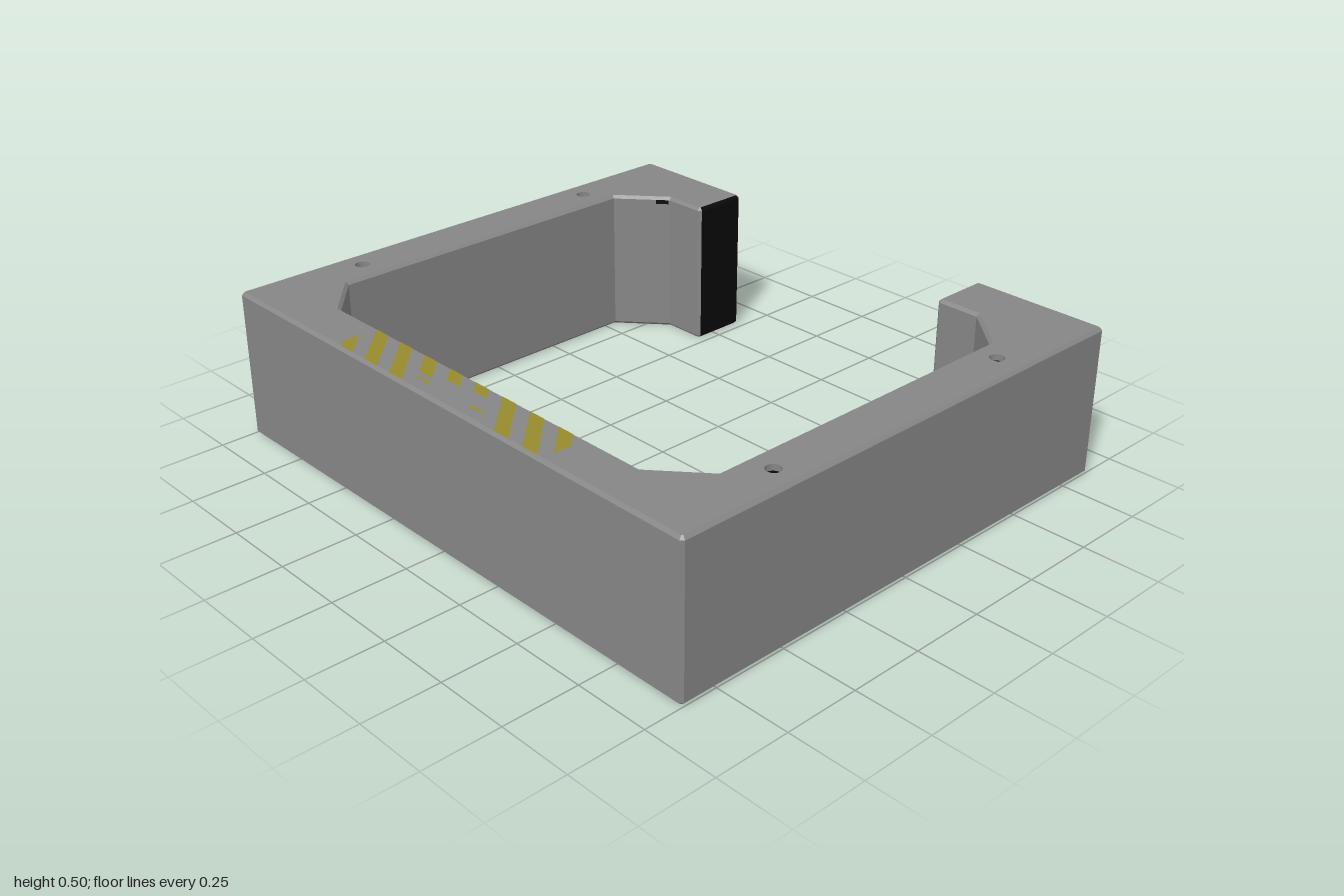
import * as THREE from 'three';

const H = 0.5, B = 0.01; // wall height, bevel size

const mat = (name, color) => Object.assign(new THREE.MeshStandardMaterial({ color }), { name });

// Cut a small chamfer into the given corner of a closed outline
function chamfer(prev, p, next) {
  const toward = (q) => p.clone().add(q.clone().sub(p).setLength(B));
  return [toward(prev), toward(next)];
}

// Plan of the open frame as (x, z), counter-clockwise seen from above
function framePlan() {
  const right = [[1, 0.875], [1, -0.875], [0.527, -0.875], [0.527, -0.672],
    [0.68, -0.672], [0.83, -0.54], [0.83, 0.585], [0.68, 0.715]];
  const left = right.map(([x, z]) => [-x, z]).reverse();
  const pts = [...right, ...left].map(([x, z]) => new THREE.Vector2(x, z));
  const n = pts.length;
  return pts.flatMap((p, i) => (i < 4 || i >= n - 4)
    ? chamfer(pts[(i + n - 1) % n], p, pts[(i + 1) % n]) : [p]);
}

// Move every corner inwards by the bevel size
function inset(pts) {
  const n = pts.length;
  const normal = (a, b) => new THREE.Vector2(a.y - b.y, b.x - a.x).normalize();
  return pts.map((p, i) => {
    const n1 = normal(pts[(i + n - 1) % n], p), n2 = normal(p, pts[(i + 1) % n]);
    return p.clone().addScaledVector(n1.clone().add(n2), -B / (1 + n1.dot(n2)));
  });
}

export function createModel() {
  const group = new THREE.Group();
  const grey = mat('grey', 0x868686);
  const black = mat('black', 0x080808);
  const yellow = mat('wornYellow', 0x968a2c);
  const add = (name, geometry, material) => {
    const mesh = new THREE.Mesh(geometry, material);
    mesh.name = name;
    group.add(mesh);
    return mesh;
  };

  // Frame walls and bevels; the right arm's end face is black
  const outer = framePlan(), inner = inset(outer), n = outer.length;
  const faces = { frame: [], armEnd: [] };
  const tri = (list, ...vs) => vs.forEach(([p, y]) => list.push(p.x, y, p.y));
  const quad = (list, a, b, c, d) => tri(list, a, b, c, a, c, d);
  const rings = [[inner, 0], [outer, B], [outer, H - B], [inner, H]];
  for (let i = 0; i < n; i++) {
    const j = (i + 1) % n, a = outer[i], b = outer[j];
    const isEnd = a.distanceTo(b) > 0.05 && Math.abs(a.x - b.x) < 1e-6 && Math.abs(a.x) < 0.6;
    for (let r = 0; r < 3; r++) {
      const list = isEnd && (a.x < 0 || r === 2) ? faces.armEnd : faces.frame;
      const [lo, y0] = rings[r], [hi, y1] = rings[r + 1];
      quad(list, [lo[i], y0], [lo[j], y0], [hi[j], y1], [hi[i], y1]);
    }
  }

  // Top cap with four bolt holes, and the plain bottom cap
  const R = 0.024, depth = 0.02;
  const bolts = [[-0.915, -0.47], [0.91, -0.47], [-0.92, 0.47], [0.915, 0.47]];
  const outline = inner.map((p) => new THREE.Vector2(p.x, -p.y));
  const holes = bolts.map(([x, z]) => new THREE.Path().absarc(x, -z, R, 0, Math.PI * 2, true).getPoints(8).slice(0, -1));
  const topPoints = [...outline, ...holes.flat()].map((p) => new THREE.Vector2(p.x, -p.y));
  for (const t of THREE.ShapeUtils.triangulateShape(outline, holes)) {
    tri(faces.frame, ...t.map((k) => [topPoints[k], H]));
  }
  for (const [a, b, c] of THREE.ShapeUtils.triangulateShape(outline, [])) {
    tri(faces.frame, [inner[c], 0], [inner[b], 0], [inner[a], 0]);
  }
  const materials = { frame: grey, armEnd: black };
  for (const [name, list] of Object.entries(faces)) {
    const g = new THREE.BufferGeometry();
    g.setAttribute('position', new THREE.Float32BufferAttribute(list, 3));
    g.computeVertexNormals();
    add(name, g, materials[name]);
  }

  // Recessed bolt holes: grey bore seen from inside, black floor
  const bore = new THREE.CylinderGeometry(R, R, depth, 16, 1, true);
  bore.scale(-1, 1, 1); // mirrored so that the inside shows
  bore.setIndex([...bore.index.array]);
  for (const [x, z] of bolts) {
    add('boltBore', bore, grey).position.set(x, H - depth / 2, z);
    const floor = add('boltHole', new THREE.CircleGeometry(R, 16), black);
    floor.rotation.x = -Math.PI / 2;
    floor.position.set(x, H - depth, z);
  }

  // Small dark marks on the inner corner facets: x, y, z, length, turn
  const marks = [[-0.7, 0.483, -0.654, 0.045, 0.72], [0.7, 0.483, 0.698, 0.035, 0.714],
    [-0.69, 0.014, 0.706, 0.02, -0.714]];
  for (const [x, y, z, length, turn] of marks) {
    const mark = add('darkMark', new THREE.BoxGeometry(length, 0.014, 0.004), black);
    mark.position.set(x, y, z);
    mark.rotation.y = turn;
  }

  // Diagonal warning stripes on the front rail: start x, near z, far z
  const plate = (points) => {
    const shape = new THREE.Shape(points.map(([x, z]) => new THREE.Vector2(x, -z)));
    const stripe = add('warningStripe', new THREE.ShapeGeometry(shape), yellow);
    stripe.rotation.x = -Math.PI / 2;
    stripe.position.y = H + 0.001;
  };
  const Z = 0.725, END = 0.867, W = 0.06;
  const stripes = [[-0.475, Z, END], [-0.355, Z, END], [-0.235, Z, 0.8], [-0.235, 0.82, 0.83],
    [-0.115, Z, 0.775], [0.005, Z, 0.765], [0.005, 0.82, 0.83], [0.125, Z, END], [0.245, Z, END]];
  for (const [x, z0, z1] of stripes) {
    const x0 = x + z0 - Z, x1 = x + z1 - Z;
    plate([[x0, z0], [x1, z1], [x1 + W, z1], [x0 + W, z0]]);
  }
  // Stripes cut off at the ends of the marked area
  plate([[-0.478, 0.785], [-0.478, 0.842], [-0.453, END], [-0.396, END]]);
  plate([[0.365, Z], [0.47, 0.83], [0.47, 0.77], [0.425, Z]]);

  return group;
}
